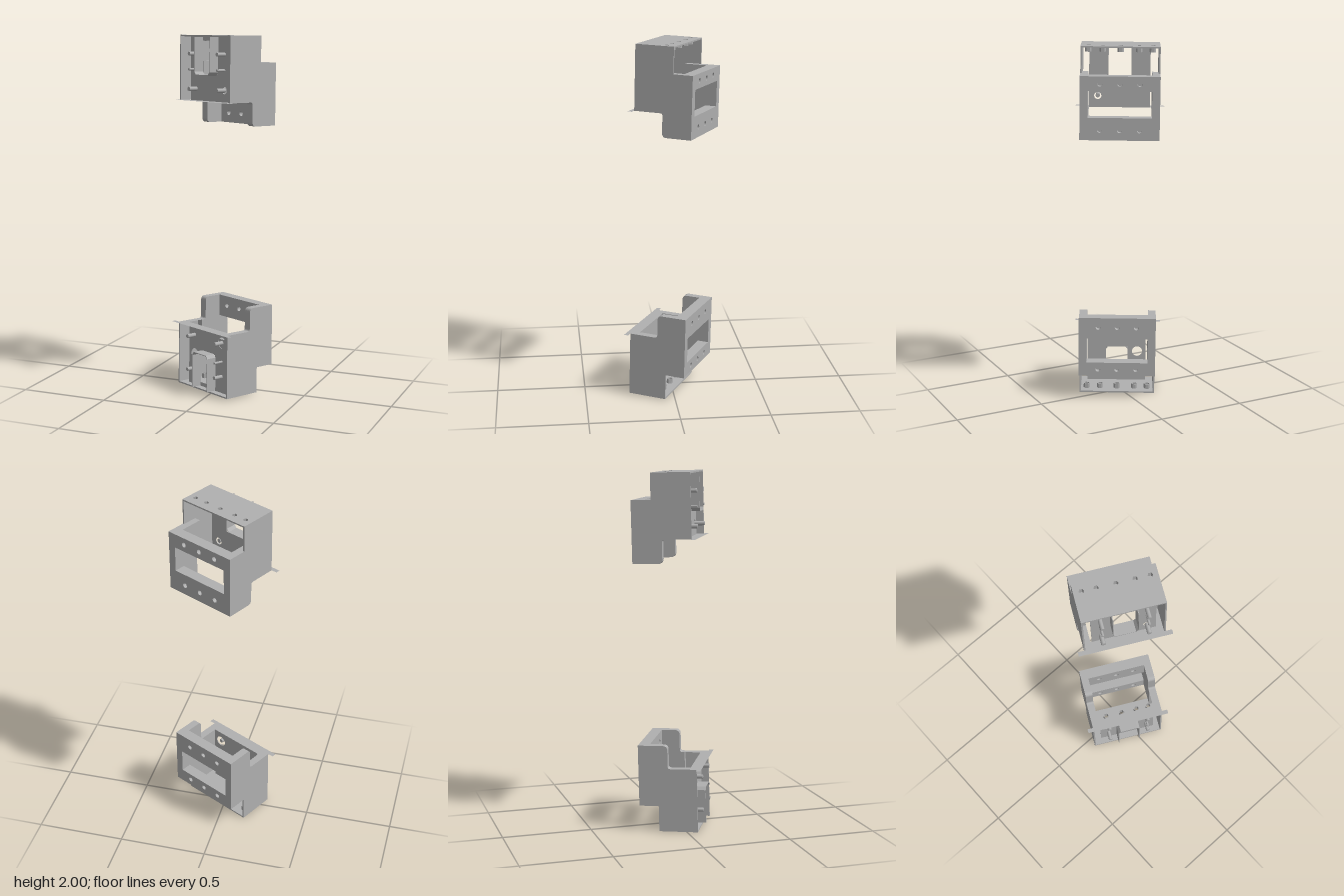
import * as THREE from 'three';

const grey = new THREE.MeshStandardMaterial({ color: 0xb0b0b0, side: THREE.DoubleSide });
grey.name = 'satin grey';

// housing limits: left/right in x, back/front in z
const X0 = -0.2065, X1 = 0.2245, XC = 0.009, Z0 = -0.19, Z1 = 0.139;
// heights of the bay floor and of the back shelf, depth of the partition
const FLOOR = 0.636, SHELF = 0.85, PANEL = 0.1;

function rect(path, x0, x1, y0, y1) {
  path.moveTo(x0, y0);
  path.lineTo(x1, y0);
  path.lineTo(x1, y1);
  path.lineTo(x0, y1);
  path.closePath();
  return path;
}

function circle(x, y, r) {
  return new THREE.Path().absarc(x, y, r, 0, Math.PI * 2, true);
}

// one half of the pair; s = 1 for the upper one, -1 for its mirrored twin
function makeHousing(s) {
  const group = new THREE.Group();
  const add = (name, geometry, x = 0, y = 0, z = 0) => {
    const mesh = new THREE.Mesh(geometry, grey);
    mesh.name = name;
    mesh.position.set(x, y, z);
    group.add(mesh);
  };
  const extrude = (shape, depth, segments = 8) =>
    new THREE.ExtrudeGeometry(shape, { depth, bevelEnabled: false, curveSegments: segments });

  // side plates, drawn as (z, y); the inner cheeks stop at the shelf
  const side = (name, xRight, depth, isCheek) => {
    const p = new THREE.Shape();
    p.moveTo(Z0, s * 0.505);
    p.lineTo(-0.05, s * 0.505);
    p.quadraticCurveTo(-0.024, s * 0.505, -0.024, s * 0.531);
    p.lineTo(-0.024, s * (FLOOR - 0.015));
    p.quadraticCurveTo(-0.024, s * FLOOR, -0.009, s * FLOOR);
    if (isCheek) {
      p.lineTo(0.004, s * FLOOR);
      p.lineTo(0.004, s * SHELF);
    } else {
      p.lineTo(Z1, s * FLOOR);
      p.lineTo(Z1, s * 0.995);
      p.lineTo(-0.08, s * 0.995);
      p.lineTo(-0.08, s * SHELF);
    }
    p.lineTo(Z0, s * SHELF);
    p.closePath();
    add(name, extrude(p, depth).rotateY(-Math.PI / 2), xRight);
  };
  side('rightWall', X1, 0.008, false);
  side('leftWall', X0 + 0.008, 0.008, false);
  side('rightInnerCheek', X1 - 0.008, 0.035, true);
  side('leftInnerCheek', X0 + 0.043, 0.035, true);

  // thick back plate with a wide window and two rows of blind holes
  const backLayer = (name, z, depth, drilled) => {
    const back = rect(new THREE.Shape(), X0, X1, s * 0.505, s * SHELF);
    back.holes.push(rect(new THREE.Path(), -0.164, 0.182, s * 0.627, s * 0.77));
    if (drilled)
      for (const y of [0.56, 0.81])
        for (const dx of [-0.107, 0, 0.107]) back.holes.push(circle(XC + dx, s * y, 0.014));
    add(name, extrude(back, depth), 0, 0, z);
  };
  backLayer('backPlateOuter', Z0, 0.028, true);
  backLayer('backPlateCore', Z0 + 0.028, 0.006, false);
  backLayer('backPlateInner', Z0 + 0.034, 0.028, true);

  // end plate with five hexagonal holes and short sleeves inside
  const end = rect(new THREE.Shape(), X0, X1, -Z1, 0.08);
  for (const dx of [-0.174, -0.1, 0, 0.097, 0.174]) {
    end.holes.push(circle(XC + dx, 0.024, 0.014));
    const sleeve = new THREE.Shape().absarc(0, 0, 0.018, 0, Math.PI * 2, false);
    sleeve.holes.push(circle(0, 0, 0.014));
    add('holeSleeve', extrude(sleeve, 0.028, 3).rotateX(-Math.PI / 2),
      XC + dx, s > 0 ? 0.96 : -0.988, -0.024);
  }
  add('endPlate', extrude(end, 0.008, 3).rotateX(-Math.PI / 2), 0, s > 0 ? 0.987 : -0.995, 0);

  // bay floor: an open frame with a wide flange along its front
  const strip = (name, x0, x1, z0, z1) =>
    add(name, new THREE.PlaneGeometry(x1 - x0, z1 - z0).rotateX(-s * Math.PI / 2 * -1),
      (x0 + x1) / 2, s * FLOOR, (z0 + z1) / 2);
  strip('frontFlange', -0.24, 0.258, Z1, 0.164);
  strip('bayFloor', X0, X1, PANEL, Z1);
  strip('leftFloorStrip', X0, X0 + 0.043, 0.004, PANEL);
  strip('rightFloorStrip', X1 - 0.043, X1, 0.004, PANEL);

  // partition near the front, with a socket opening and screw clearances
  const panel = rect(new THREE.Shape(), -0.156, 0.182, s * FLOOR, s * 0.987);
  panel.holes.push(rect(new THREE.Path(), -0.051, 0.076, s * 0.781, s * 0.965));
  panel.holes.push(circle(0.134, s * 0.7, s > 0 ? 0.02 : 0.032));
  if (s < 0) panel.holes.push(circle(-0.106, s * 0.808, 0.03));
  add('partition', extrude(panel, 0.004, 12), 0, 0, PANEL - 0.002);

  // U-shaped socket rim with clipped corners
  const rim = new THREE.Shape();
  [[-0.055, 0.985], [-0.055, 0.795], [-0.04, 0.777], [0.065, 0.777], [0.08, 0.795], [0.08, 0.985],
    [0.076, 0.985], [0.076, 0.797], [0.063, 0.781], [-0.038, 0.781], [-0.051, 0.797], [-0.051, 0.985]]
    .forEach(([x, y], i) => (i ? rim.lineTo(x, s * y) : rim.moveTo(x, s * y)));
  rim.closePath();
  add('socketRim', extrude(rim, 0.062), 0, 0, PANEL);

  // screw posts in two columns
  for (const x of [-0.106, 0.134])
    for (const [y, r] of [[0.893, 0.011], [0.808, 0.007], [0.7, 0.012]]) {
      if (s < 0 && x < 0 && y === 0.808) continue;
      add('screwPost', new THREE.CylinderGeometry(r, r, 0.057, 8).rotateX(Math.PI / 2),
        x, s * y, PANEL + 0.0285);
    }
  return group;
}

export function createModel() {
  const model = new THREE.Group();
  model.name = 'housingPair';
  const pair = new THREE.Group();
  const upper = makeHousing(1);
  upper.name = 'upperHousing';
  const lower = makeHousing(-1);
  lower.name = 'lowerHousing';
  pair.name = 'turnedPair';
  pair.add(upper, lower);
  // turned to the side and tipped very slightly
  pair.rotation.set(-0.025, -0.482, 0);
  pair.position.y = 1;
  model.add(pair);
  return model;
}
